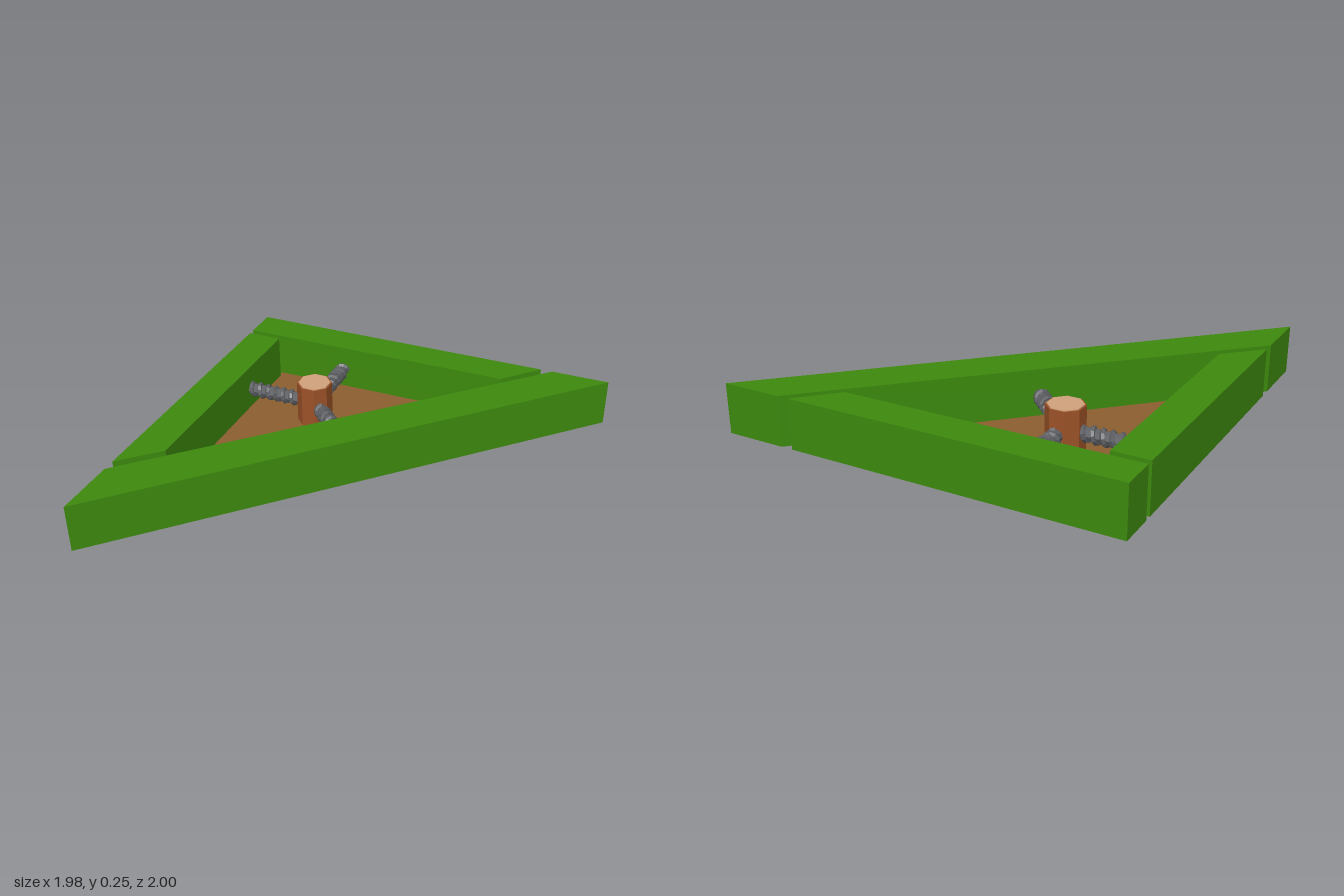
import * as THREE from 'three';

const mat = (name, color, flat = true) => {
  const m = new THREE.MeshStandardMaterial({ color });
  m.name = name;
  m.flatShading = flat;
  return m;
};

export function createModel() {
  const green = mat('wall green', 0x3d8a0d);
  const brown = mat('floor brown', 0x8b5e2f);
  const bark = mat('post brown', 0x9c5228);
  const tan = mat('post top tan', 0xd2a27c);
  const grey = mat('screw grey', 0x5c5e62);

  const group = new THREE.Group();
  group.name = 'triangularFrame';
  const add = (parent, name, geometry, material) => {
    const mesh = new THREE.Mesh(geometry, material);
    mesh.name = name;
    parent.add(mesh);
    return mesh;
  };

  // Upright slab from an outline of [x, z] corners
  const slab = (points, height) => {
    const shape = new THREE.Shape(points.map(([x, z]) => new THREE.Vector2(x, -z)));
    return new THREE.ExtrudeGeometry(shape, { depth: height, bevelEnabled: false }).rotateX(-Math.PI / 2);
  };

  // Three mitred walls with narrow gaps between them
  const H = 0.245;
  add(group, 'backWall', slab([[-0.99, -1], [-0.99, -0.82], [0.46, -0.82], [0.63, -1]], H), green);
  add(group, 'sideWall', slab([[-0.99, -0.785], [-0.99, 0.615], [-0.81, 0.44], [-0.81, -0.785]], H), green);
  add(group, 'diagonalWall', slab([[0.69, -1], [-0.99, 0.68], [-0.99, 1], [0.99, -1]], H), green);

  // Thin floor
  const floor = add(group, 'floor', slab([[-0.82, -0.82], [-0.82, 0.51], [0.51, -0.82]], 0.01), brown);
  floor.position.y = 0.001;

  // Octagonal post with a pale cut top
  const hub = new THREE.Group();
  hub.name = 'hub';
  hub.position.set(-0.435, 0, -0.435);
  group.add(hub);
  const post = add(hub, 'post', new THREE.CylinderGeometry(0.092, 0.092, 0.232, 8), bark);
  post.position.y = 0.116;
  post.rotation.y = Math.PI / 8;
  const top = add(hub, 'postTop', new THREE.CylinderGeometry(0.084, 0.084, 0.004, 8), tan);
  top.position.y = 0.234;
  top.rotation.y = Math.PI / 8;

  // Threaded screws running from the post to each wall, built along +x
  const start = 0.08, pitch = 0.046;
  const addScrew = (name, angle, end) => {
    const screw = new THREE.Group();
    screw.name = name;
    const length = end - start;
    const core = add(screw, 'screwCore', new THREE.CylinderGeometry(0.032, 0.032, length, 8).rotateZ(Math.PI / 2), grey);
    core.position.x = (start + end) / 2;
    const turns = (length - 0.02) / pitch;
    const steps = Math.round(turns * 10);
    const path = [];
    for (let i = 0; i <= steps; i++) {
      const t = i / steps, a = t * turns * Math.PI * 2;
      path.push(new THREE.Vector3(start + 0.01 + t * (length - 0.02), 0.031 * Math.cos(a), 0.031 * Math.sin(a)));
    }
    const curve = new THREE.CatmullRomCurve3(path);
    add(screw, 'screwThread', new THREE.TubeGeometry(curve, steps, 0.013, 5), grey);
    screw.position.y = 0.115;
    screw.rotation.y = angle;
    hub.add(screw);
  };
  addScrew('backScrew', Math.PI / 2, 0.387);
  addScrew('sideScrew', Math.PI, 0.378);
  addScrew('diagonalScrew', -Math.PI / 4, 0.394);

  return group;
}
